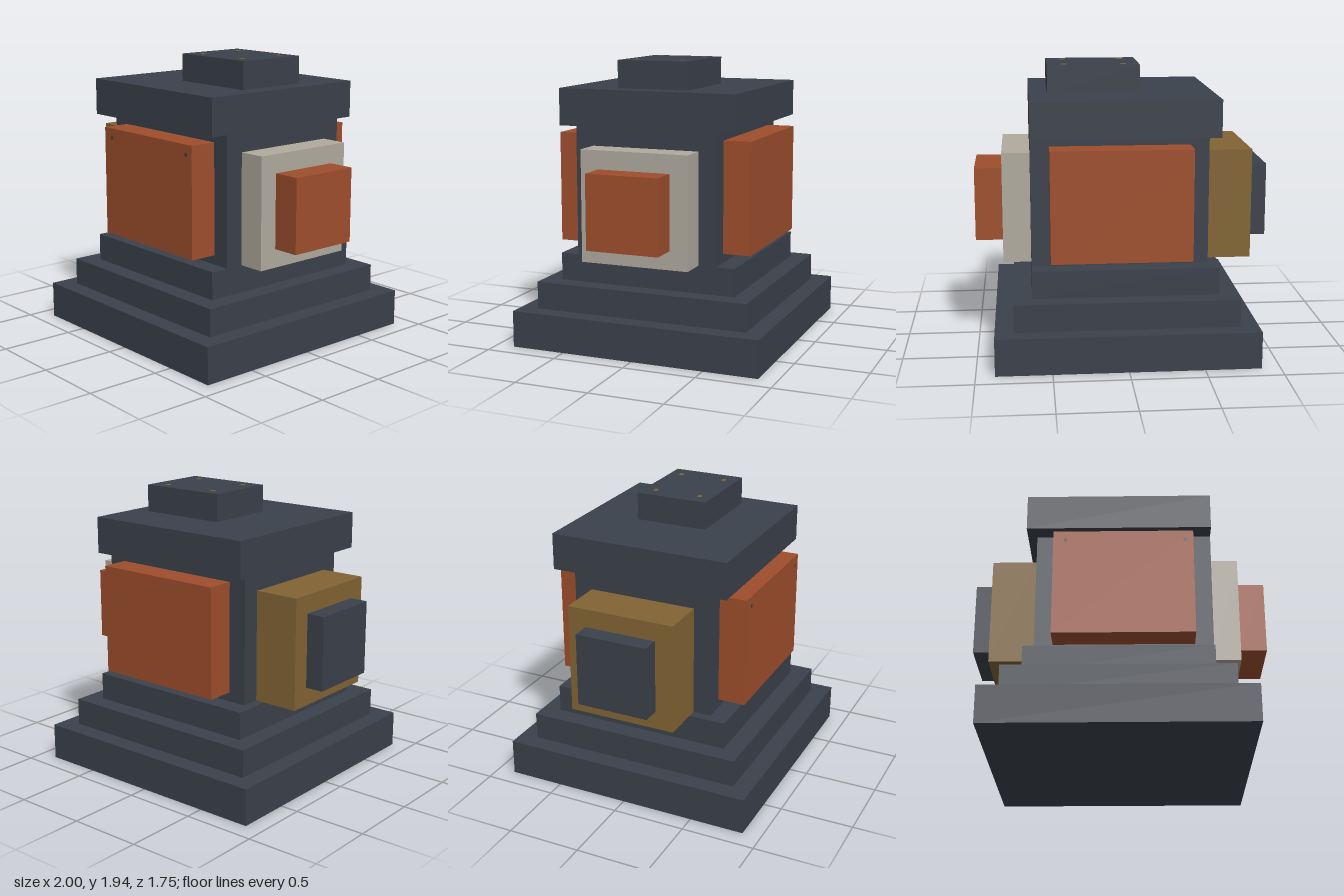
import * as THREE from 'three';

export function createModel() {
  const model = new THREE.Group();
  model.name = 'steppedMachine';

  const material = (name, color) => {
    const m = new THREE.MeshStandardMaterial({ color });
    m.name = name;
    return m;
  };
  const slate = material('slate', 0x3b414b);
  const rust = material('rust', 0x9e4e2c);
  const brass = material('brass', 0x826434);
  const stone = material('stone', 0xb0aa9e);

  // Box given by its extents along each axis
  const block = (name, mat, [x0, x1], [y0, y1], [z0, z1]) => {
    const mesh = new THREE.Mesh(new THREE.BoxGeometry(x1 - x0, y1 - y0, z1 - z0), mat);
    mesh.position.set((x0 + x1) / 2, (y0 + y1) / 2, (z0 + z1) / 2);
    mesh.name = name;
    model.add(mesh);
  };
  const both = (r) => [-r, r];
  const around = (c, size) => [c - size / 2, c + size / 2];

  // Stepped plinth, body and roof
  block('baseStep', slate, both(0.875), [0, 0.25], both(0.875));
  block('middleStep', slate, both(0.75), [0.25, 0.4375], both(0.75));
  block('upperStep', slate, both(0.625), [0.4375, 0.625], both(0.625));
  block('body', slate, [-0.5625, 0.625], [0.625, 1.5], both(0.5));
  block('roof', slate, both(0.625), [1.5, 1.75], both(0.625));
  block('roofCap', slate, [-0.125, 0.5], [1.75, 1.9375], both(0.25));

  // Large panels on the front and back
  block('frontPanel', rust, [-0.4375, 0.5], [0.6875, 1.4375], [0.5, 0.6875]);
  block('backPanel', rust, [-0.4375, 0.5], [0.6875, 1.4375], [-0.6875, -0.5]);

  // Stacked side fittings
  block('rightFlange', brass, [-0.875, -0.5625], [0.625, 1.375], both(0.375));
  block('rightPlug', slate, [-1, -0.875], [0.75, 1.25], both(0.25));
  block('leftFlange', stone, [0.625, 0.8125], [0.625, 1.375], both(0.375));
  block('leftPlug', rust, [0.8125, 1], [0.75, 1.25], both(0.25));

  // Small studs on the cap and along the top of the front panel
  for (const x of [-0.017, 0.385]) {
    for (const z of [-0.165, 0.16]) {
      block('capStud', brass, around(x, 0.04), [1.9365, 1.9395], around(z, 0.03));
    }
  }
  for (const x of [-0.355, 0.445]) {
    block('panelStud', slate, around(x, 0.022), around(1.372, 0.022), [0.6865, 0.6895]);
  }

  return model;
}
